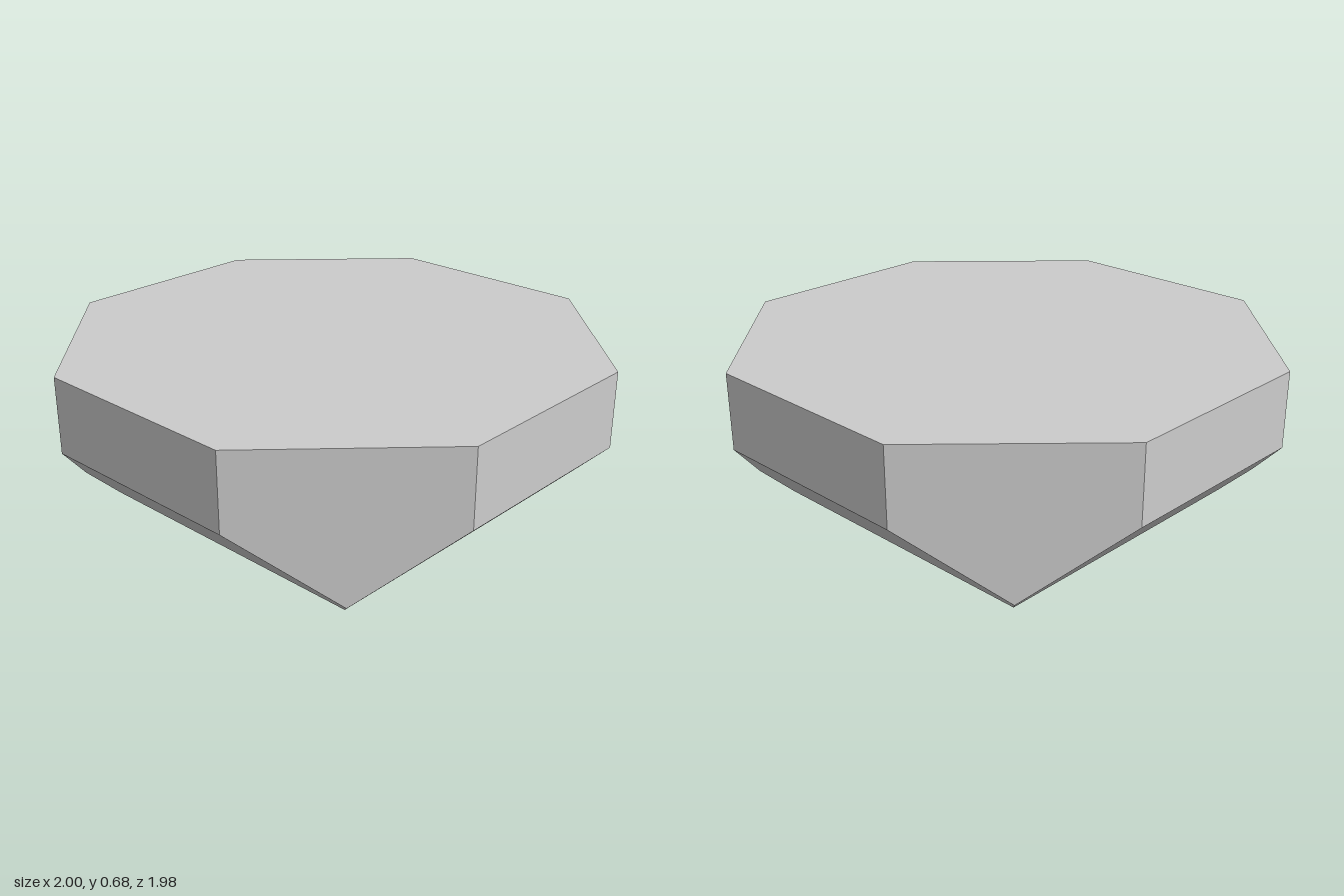
import * as THREE from 'three';
import { ConvexGeometry } from 'three/addons/geometries/ConvexGeometry.js';

// Half sizes of the block and the heights of its rims
const halfX = 1, halfZ = 0.988, top = 0.68, rim = 0.38;
const flatX = 0.427, flatZ = 0.415; // half lengths of the straight octagon sides

export function createModel() {
  const group = new THREE.Group();
  group.name = 'facetedBlock';

  // One quarter of the corners, mirrored across x and z
  const quarter = [
    // upright octagonal band
    [flatX, top, halfZ], [halfX, top, flatZ],
    [flatX, rim, halfZ], [halfX, rim, flatZ],
    // lower tip of each diagonal facet, where two 45 degree slopes meet
    [0.7135, 0.0935, 0.7015],
    // rectangular base
    [halfX - rim, 0, halfZ - rim],
  ];
  const points = [];
  for (const sx of [1, -1]) {
    for (const sz of [1, -1]) {
      for (const [x, y, z] of quarter) points.push(new THREE.Vector3(sx * x, y, sz * z));
    }
  }

  const body = new THREE.Mesh(
    new ConvexGeometry(points),
    new THREE.MeshStandardMaterial({ color: 0xcccccc, flatShading: true })
  );
  body.name = 'body';
  group.add(body);
  return group;
}
